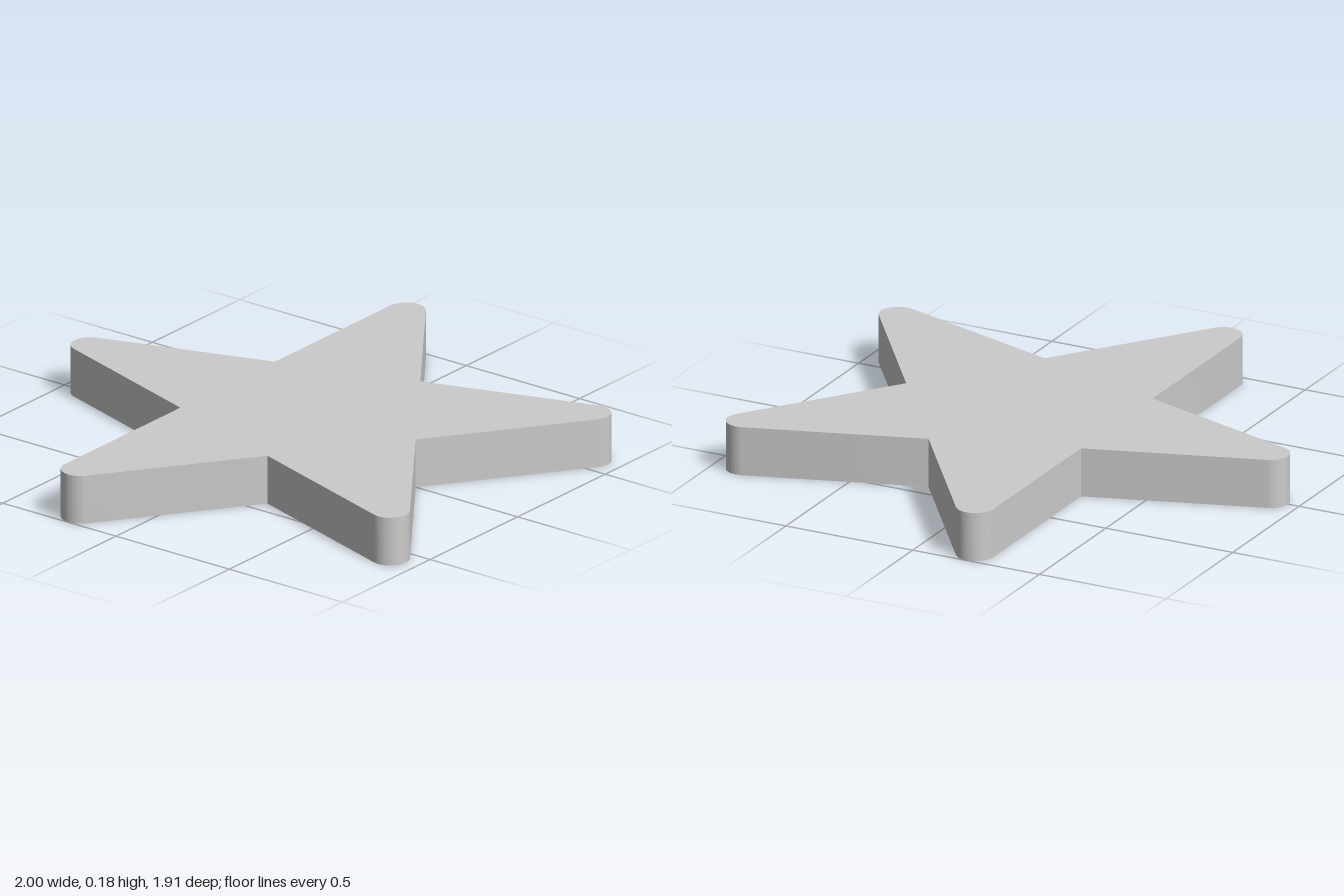
import * as THREE from 'three';
import { toCreasedNormals } from 'three/addons/utils/BufferGeometryUtils.js';

const HEIGHT = 0.18;
const CENTRE_Z = 0.091;    // star centre, offset so the bounds are centred
const INNER_RADIUS = 0.459; // notch corners
const TIP_DISTANCE = 0.978; // centres of the tip roundings
const TIP_RADIUS = 0.069;

export function createModel() {
  const group = new THREE.Group();
  group.name = 'star';

  // Outline: each arm is a tangent arc at the tip, then a sharp notch
  const shape = new THREE.Shape();
  const rad = THREE.MathUtils.degToRad;
  for (let i = 0; i < 5; i++) {
    const a = rad(90 + i * 72);
    const notch = a + rad(36);
    shape.absarc(
      TIP_DISTANCE * Math.cos(a), TIP_DISTANCE * Math.sin(a) - CENTRE_Z,
      TIP_RADIUS, a - rad(72), a + rad(72), false
    );
    shape.lineTo(INNER_RADIUS * Math.cos(notch), INNER_RADIUS * Math.sin(notch) - CENTRE_Z);
  }

  // Flat slab lying on the ground, one arm pointing back
  const slab = new THREE.ExtrudeGeometry(shape, { depth: HEIGHT, bevelEnabled: false, curveSegments: 16 });
  slab.rotateX(-Math.PI / 2);

  const body = new THREE.Mesh(
    toCreasedNormals(slab, rad(30)),
    new THREE.MeshStandardMaterial({ color: 0xcccccc })
  );
  body.name = 'starBody';
  group.add(body);
  return group;
}
